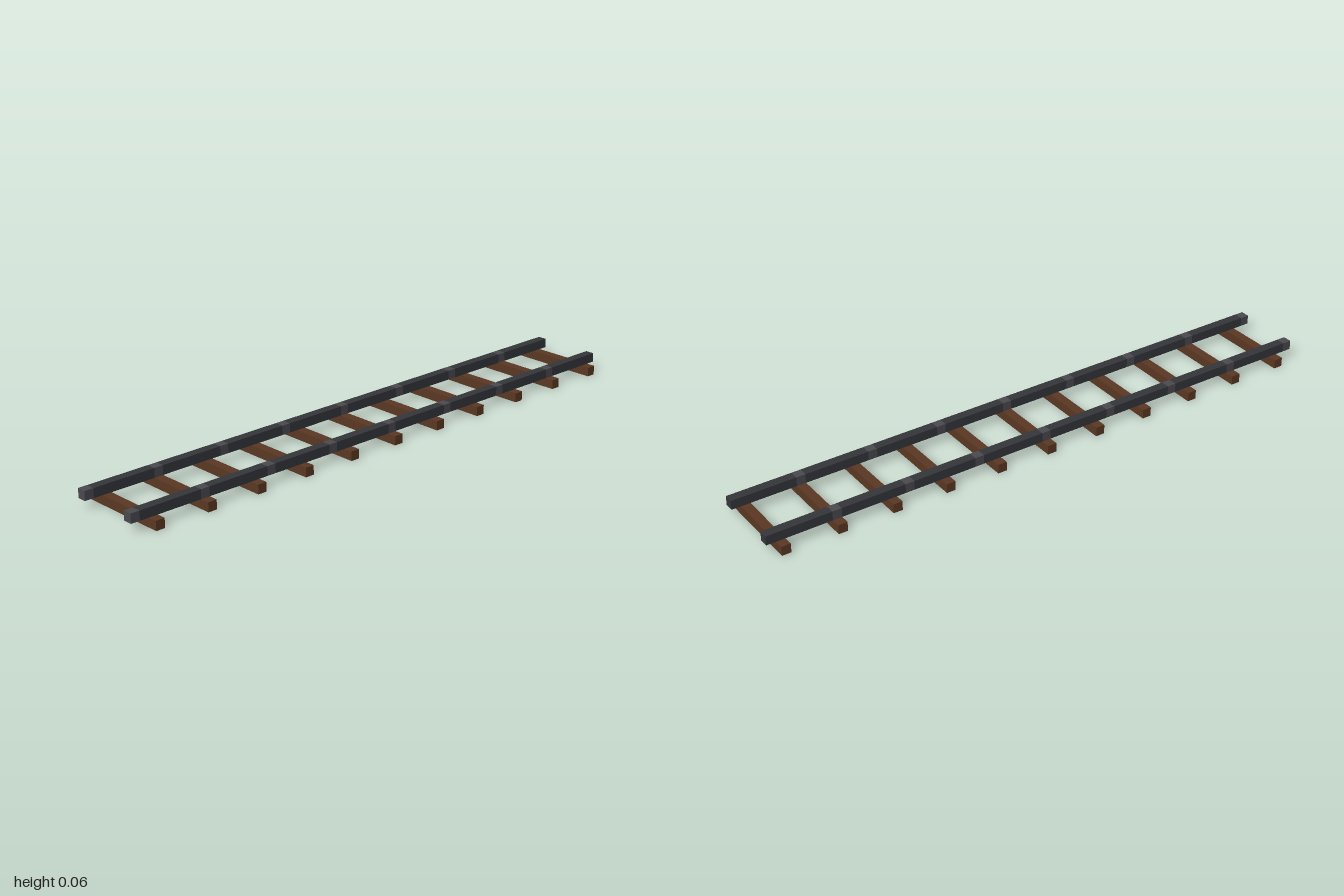
import * as THREE from 'three';

const U = 2 / 64; // one block unit

export function createModel() {
  const track = new THREE.Group();
  track.name = 'railwayTrack';
  const wood = new THREE.MeshStandardMaterial({ color: 0x5a3822, flatShading: true });
  const steel = new THREE.MeshStandardMaterial({ color: 0x34363a, flatShading: true });
  const joint = new THREE.MeshStandardMaterial({ color: 0x4a494f, flatShading: true });

  // Box given by its size and centre in block units
  const addBox = (parent, name, material, [w, h, d], [x, y, z]) => {
    const mesh = new THREE.Mesh(new THREE.BoxGeometry(w * U, h * U, d * U), material);
    mesh.position.set(x * U, y * U, z * U);
    mesh.name = name;
    parent.add(mesh);
  };

  // Eleven wooden sleepers, six units apart
  for (let i = 0; i < 11; i++) {
    addBox(track, 'sleeper', wood, [10, 1, 1], [0, 0.5, -30.5 + i * 6]);
  }

  // Two rails, each of eight dark lengths ending in a lighter joint
  for (const side of [-1, 1]) {
    const rail = new THREE.Group();
    rail.name = side > 0 ? 'leftRail' : 'rightRail';
    for (let i = 0; i < 8; i++) {
      const start = -32 + i * 8;
      addBox(rail, 'railLength', steel, [1, 1, 7], [side * 3.5, 1.5, start + 3.5]);
      addBox(rail, 'railJoint', joint, [1, 1, 1], [side * 3.5, 1.5, start + 7.5]);
    }
    track.add(rail);
  }
  return track;
}
